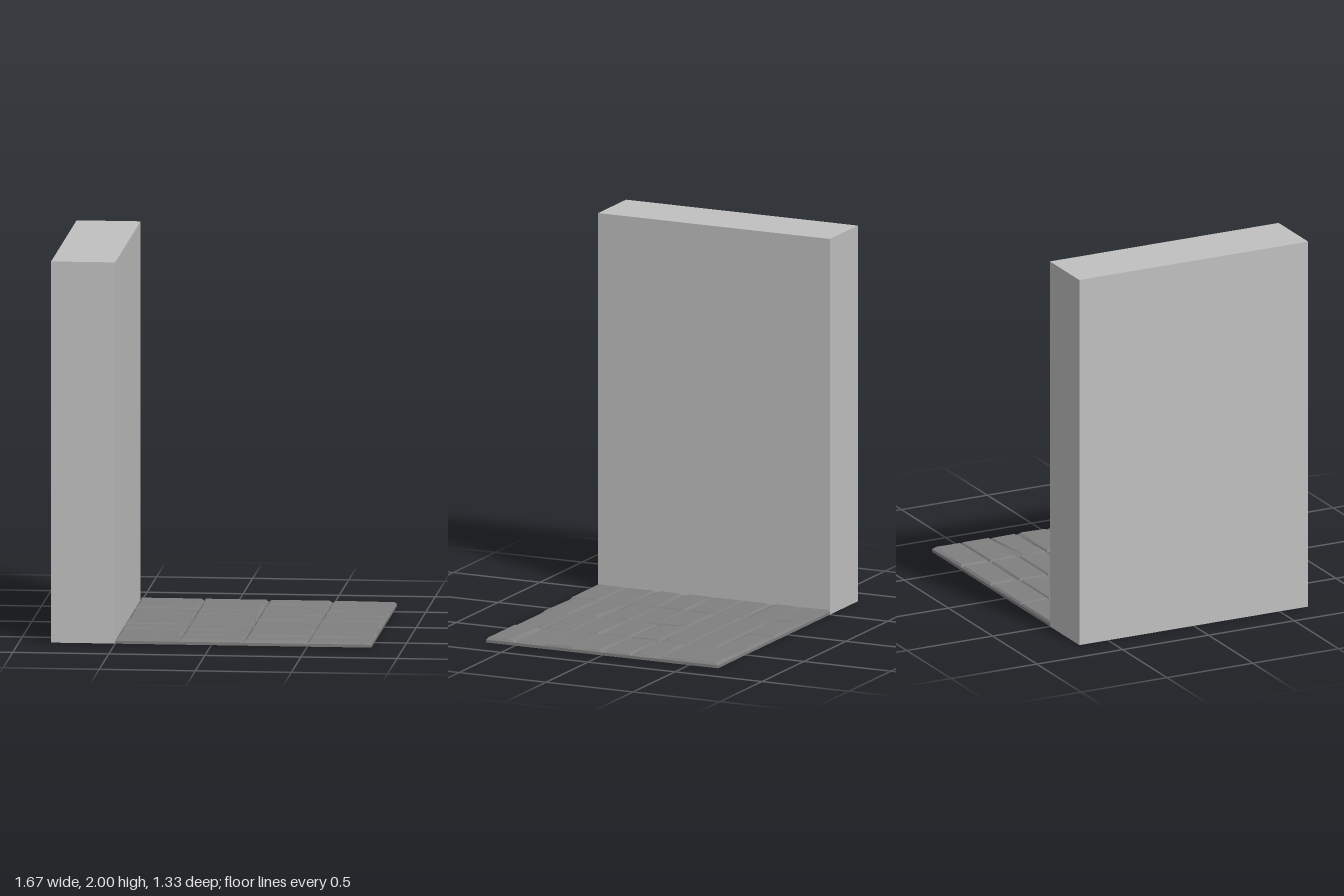
import * as THREE from 'three';

const wallGrey = new THREE.MeshStandardMaterial({ name: 'wallGrey', color: 0xc0c0c0 });
const stoneGrey = new THREE.MeshStandardMaterial({ name: 'stoneGrey', color: 0x808080 });

const DEPTH = 4 / 3, FLOOR_WIDTH = 4 / 3, WALL_WIDTH = 1 / 3;
const COLS = 4, ROWS = 8;
const SLAB_TOP = 0.015, TILE_TOP = 0.027;

function seededRandom(seed) {
  return () => (seed = (seed * 16807) % 2147483647) / 2147483647;
}

function box(name, w, h, d, x, y, z, material) {
  const mesh = new THREE.Mesh(new THREE.BoxGeometry(w, h, d), material);
  mesh.name = name;
  mesh.position.set(x, y, z);
  return mesh;
}

// Paving stone: a box whose top corners are pulled inwards unevenly
function stoneGeometry(w, h, d, random) {
  const insets = [0, 1, 2, 3].map(() => [
    0.006 + random() * 0.012,
    0.006 + (random() < 0.4 ? random() * 0.035 : random() * 0.006),
  ]);
  const geometry = new THREE.BoxGeometry(w, h, d).toNonIndexed();
  const p = geometry.attributes.position;
  for (let i = 0; i < p.count; i++) {
    if (p.getY(i) < 0) continue;
    const sx = Math.sign(p.getX(i)), sz = Math.sign(p.getZ(i));
    const [ix, iz] = insets[(sx > 0 ? 1 : 0) + (sz > 0 ? 2 : 0)];
    p.setX(i, p.getX(i) - sx * ix);
    p.setZ(i, p.getZ(i) - sz * iz);
  }
  geometry.computeVertexNormals();
  return geometry;
}

export function createModel() {
  const model = new THREE.Group();
  model.name = 'wallAndPavement';
  const floorLeft = -0.5;

  // Tall plain wall
  model.add(box('wall', WALL_WIDTH, 2, DEPTH, floorLeft - WALL_WIDTH / 2, 1, 0, wallGrey));

  // Thin slab beneath the stones
  const floor = new THREE.Group();
  floor.name = 'floor';
  floor.add(box('floorSlab', FLOOR_WIDTH, SLAB_TOP, DEPTH,
    floorLeft + FLOOR_WIDTH / 2, SLAB_TOP / 2, 0, stoneGrey));

  // Grid of bevelled paving stones
  const random = seededRandom(4271);
  const w = FLOOR_WIDTH / COLS, d = DEPTH / ROWS, h = TILE_TOP - SLAB_TOP;
  for (let row = 0; row < ROWS; row++) {
    for (let col = 0; col < COLS; col++) {
      const stone = new THREE.Mesh(stoneGeometry(w, h, d, random), stoneGrey);
      stone.name = 'pavingStone';
      stone.position.set(floorLeft + (col + 0.5) * w, SLAB_TOP + h / 2, -DEPTH / 2 + (row + 0.5) * d);
      floor.add(stone);
    }
  }
  model.add(floor);
  return model;
}
